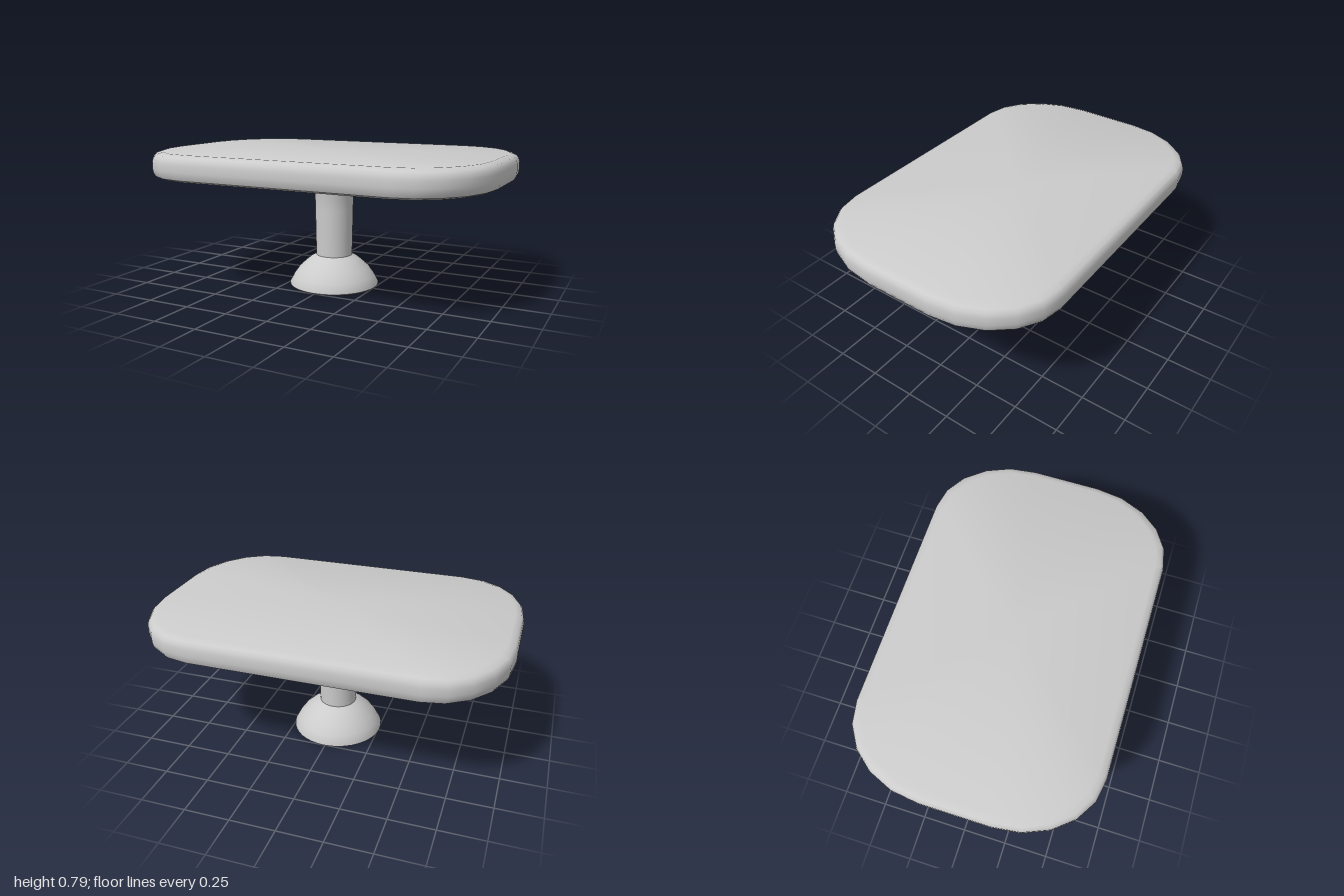
import * as THREE from 'three';
import { toCreasedNormals } from 'three/addons/utils/BufferGeometryUtils.js';

const material = new THREE.MeshStandardMaterial({ color: 0xcccccc });

function addMesh(group, name, geometry, crease = 0.6) {
  const mesh = new THREE.Mesh(toCreasedNormals(geometry, crease), material);
  mesh.name = name;
  group.add(mesh);
  return mesh;
}

const lathe = (profile, segments = 40) =>
  new THREE.LatheGeometry(profile.map(([r, y]) => new THREE.Vector2(r, y)), segments);

// Rounded slab: an outline with faceted elliptical corners, stacked in rings
function tabletopGeometry() {
  const halfX = 1, halfZ = 0.67, cornerX = 0.39, cornerZ = 0.48, steps = 5;
  const outline = [];
  for (let q = 0; q < 4; q++) {
    const sx = q === 0 || q === 3 ? 1 : -1;
    const sz = q < 2 ? 1 : -1;
    for (let i = 0; i <= steps; i++) {
      const a = (q + i / steps) * Math.PI / 2;
      outline.push([
        sx * (halfX - cornerX) + cornerX * Math.cos(a),
        sz * (halfZ - cornerZ) + cornerZ * Math.sin(a),
      ]);
    }
  }
  // Rim section: inset from the widest outline, height
  const rim = [
    [0.035, 0.645], [0.013, 0.656], [0.003, 0.677], [0, 0.7],
    [0, 0.738], [0.005, 0.76], [0.017, 0.777], [0.05, 0.79],
  ];
  const positions = [], index = [], n = outline.length;
  for (const [inset, y] of rim)
    for (const [x, z] of outline)
      positions.push(x * (1 - inset / halfX), y, z * (1 - inset / halfZ));
  const bottom = n * rim.length, top = bottom + 1, last = n * (rim.length - 1);
  positions.push(0, rim[0][1], 0, 0, rim[rim.length - 1][1], 0);

  for (let i = 0; i < n; i++) {
    const j = (i + 1) % n;
    for (let r = 0; r < rim.length - 1; r++) {
      const a = r * n + i, b = r * n + j;
      index.push(a, a + n, b, b, a + n, b + n);
    }
    index.push(bottom, i, j, top, last + j, last + i);
  }
  const geometry = new THREE.BufferGeometry();
  geometry.setAttribute('position', new THREE.Float32BufferAttribute(positions, 3));
  geometry.setIndex(index);
  return geometry;
}

export function createModel() {
  const group = new THREE.Group();
  group.name = 'pedestalTable';

  addMesh(group, 'tabletop', tabletopGeometry());

  // Shallow collar blending the column into the underside, wider along z
  const collar = lathe([[0.13, 0.62], [0.23, 0.646]]);
  const p = collar.attributes.position;
  for (let i = 0; i < p.count; i++)
    if (p.getY(i) > 0.64) p.setZ(i, p.getZ(i) * 1.24);
  addMesh(group, 'collar', collar);

  // Column with a flared neck
  addMesh(group, 'column', lathe([
    [0.105, 0.175], [0.107, 0.28], [0.11, 0.45], [0.113, 0.585], [0.119, 0.602], [0.13, 0.62],
  ]));

  // Domed foot, closed underneath
  addMesh(group, 'base', lathe([
    [0, 0], [0.25, 0], [0.26, 0.007], [0.26, 0.015], [0.236, 0.06],
    [0.206, 0.102], [0.165, 0.14], [0.136, 0.163], [0.105, 0.18],
  ]));

  return group;
}
